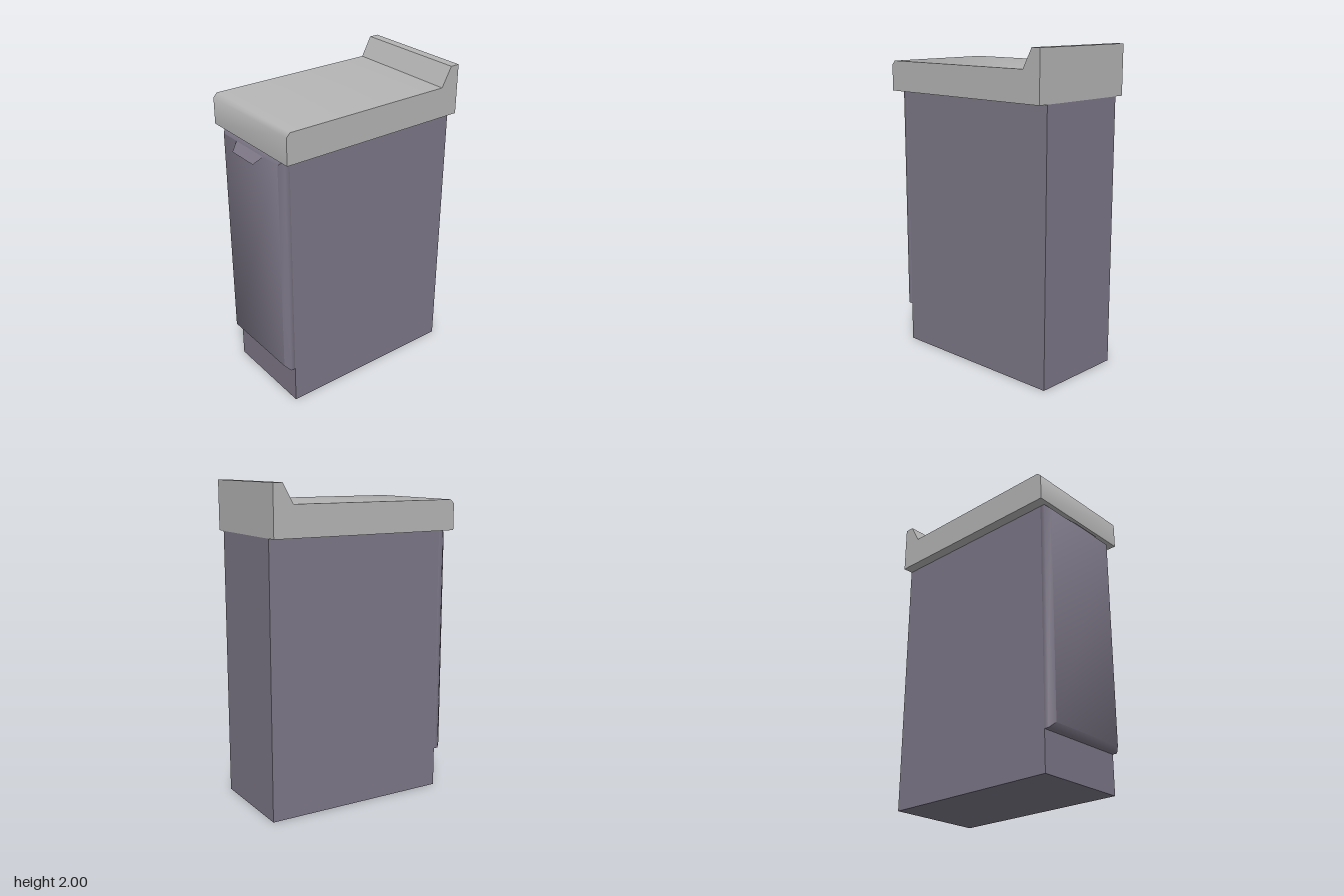
import * as THREE from 'three';
import { toCreasedNormals } from 'three/addons/utils/BufferGeometryUtils.js';

export function createModel() {
  const model = new THREE.Group();
  const worktopGrey = new THREE.MeshStandardMaterial({ color: 0xb4b4b4 });
  worktopGrey.name = 'worktop grey';
  const cabinetPurple = new THREE.MeshStandardMaterial({ color: 0x7c7686, side: THREE.DoubleSide });
  cabinetPurple.name = 'cabinet purple grey';

  const add = (name, geometry, material) => {
    const mesh = new THREE.Mesh(geometry, material);
    mesh.name = name;
    model.add(mesh);
  };
  const polygon = (points) => new THREE.Shape(points.map(([x, y]) => new THREE.Vector2(x, y)));

  // Cabinet body
  add('cabinet', new THREE.BoxGeometry(1.19, 1.69, 0.62).translate(0.055, 0.845, 0), cabinetPurple);

  // Door with bevelled edges on the -x side; its back bevel sits inside the cabinet
  const door = new THREE.ExtrudeGeometry(
    polygon([[-0.28, 0.28], [0.28, 0.28], [0.28, 1.66], [-0.28, 1.66]]),
    { depth: 0.03, bevelEnabled: true, bevelSize: 0.03, bevelThickness: 0.03, bevelSegments: 1 }
  );
  door.rotateY(-Math.PI / 2).translate(-0.54, 0, 0);
  add('door', toCreasedNormals(door, THREE.MathUtils.degToRad(50)), cabinetPurple);

  // Thin tapered door pull, sloping down and outwards
  const pull = new THREE.BufferGeometry();
  pull.setAttribute('position', new THREE.Float32BufferAttribute([
    -0.60, 1.66, -0.14, -0.65, 1.615, -0.107, -0.65, 1.615, 0.107, -0.60, 1.66, 0.14,
  ], 3));
  pull.setIndex([0, 1, 2, 0, 2, 3]);
  pull.computeVertexNormals();
  add('doorPull', pull, cabinetPurple);

  // Worktop with a chamfered front lip and raised splashback
  const worktop = new THREE.ExtrudeGeometry(
    polygon([[-0.6, 1.69], [0.65, 1.69], [0.65, 2], [0.59, 2], [0.525, 1.88], [-0.575, 1.88], [-0.6, 1.855]]),
    { depth: 0.75, bevelEnabled: false }
  ).translate(0, 0, -0.375);
  add('worktop', toCreasedNormals(worktop, THREE.MathUtils.degToRad(50)), worktopGrey);

  return model;
}
